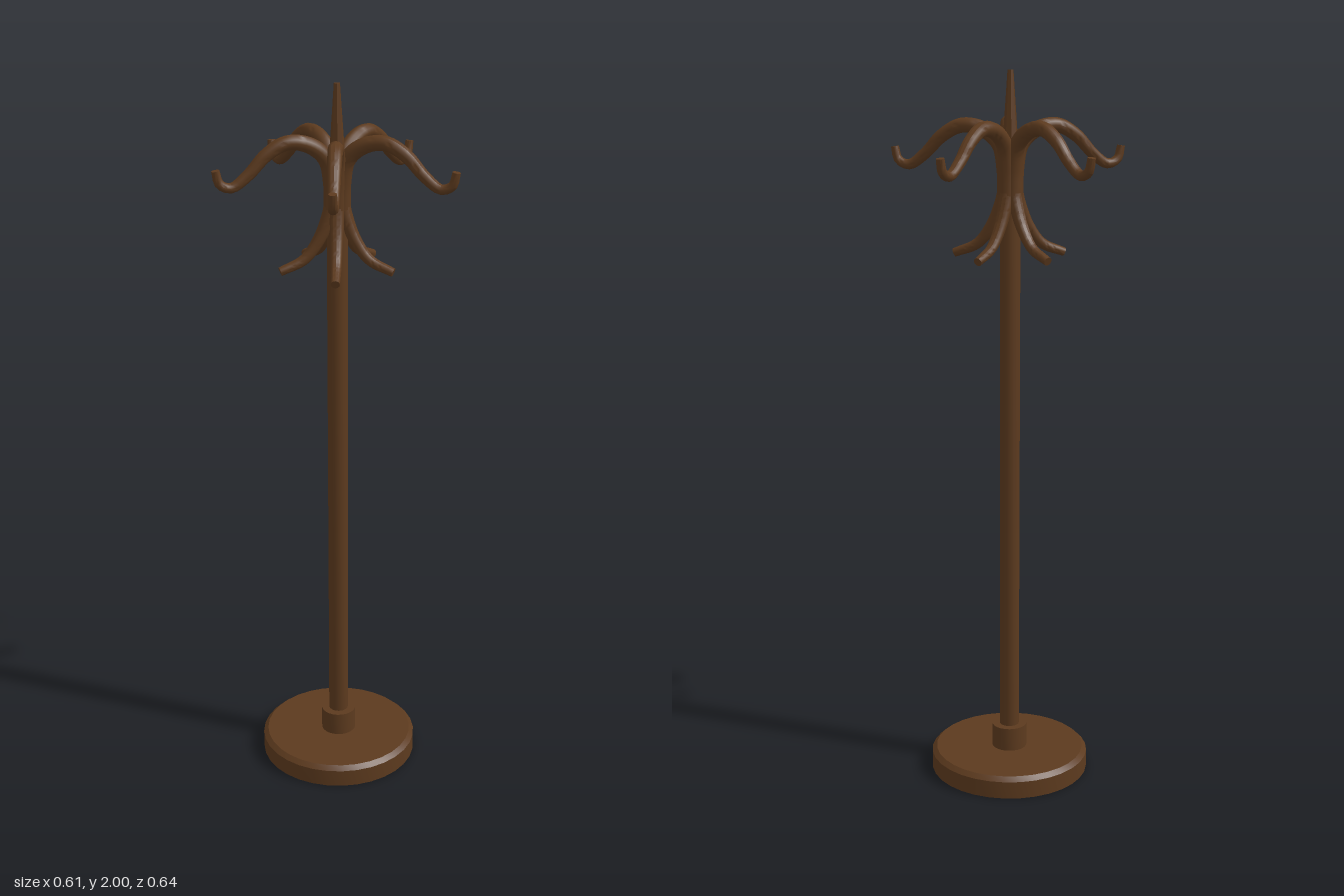
import * as THREE from 'three';
import { toCreasedNormals } from 'three/addons/utils/BufferGeometryUtils.js';

const wood = new THREE.MeshStandardMaterial({ color: 0x5c3a1e });

function mesh(name, geometry, crease = 0.6) {
  const m = new THREE.Mesh(toCreasedNormals(geometry, crease), wood);
  m.name = name;
  return m;
}

function lathe(name, points, sides) {
  return mesh(name, new THREE.LatheGeometry(points.map(([r, y]) => new THREE.Vector2(r, y)), sides));
}

// Tube along [radius, height] points, tapering from r0 to r1, with flat closed ends
function taperedTube(points, r0, r1, power, steps = 32, sides = 12) {
  const curve = new THREE.CatmullRomCurve3(points.map(([x, y]) => new THREE.Vector3(x, y, 0)));
  const geo = new THREE.TubeGeometry(curve, steps, 1, sides, false);
  const pos = geo.attributes.position;
  const v = new THREE.Vector3();
  for (let i = 0; i <= steps; i++) {
    const centre = curve.getPointAt(i / steps);
    const t = i <= 1 ? 0 : i >= steps - 1 ? 1 : i / steps;
    const target = curve.getPointAt(t);
    const r = i === 0 || i === steps ? 0 : r0 + (r1 - r0) * t ** power;
    for (let j = 0; j <= sides; j++) {
      const k = i * (sides + 1) + j;
      v.fromBufferAttribute(pos, k).sub(centre).multiplyScalar(r).add(target);
      pos.setXYZ(k, v.x, v.y, v.z);
    }
  }
  return geo;
}

export function createModel() {
  const root = new THREE.Group();
  root.name = 'coatStand';
  const stand = new THREE.Group();
  stand.name = 'stand';
  stand.position.x = -0.032;
  root.add(stand);

  // Round foot with a bevelled rim, collar and pole
  stand.add(lathe('base', [[0, 0], [0.226, 0], [0.226, 0.05], [0.213, 0.062], [0, 0.062]], 32));
  stand.add(lathe('collar', [[0, 0.05], [0.05, 0.05], [0.05, 0.13], [0, 0.13]], 24));
  stand.add(lathe('pole', [[0, 0.1], [0.028, 0.1], [0.028, 1.8], [0, 1.8]], 16));

  // Faceted finial
  const finial = mesh('finial', new THREE.CylinderGeometry(0.008, 0.023, 0.22, 8), 0.3);
  finial.position.y = 1.89;
  finial.rotation.y = Math.PI / 8;
  stand.add(finial);

  // Five branches, each a long upper hook over a short lower hook
  const upper = taperedTube([
    [0.013, 1.67], [0.015, 1.74], [0.03, 1.805], [0.075, 1.843], [0.135, 1.853],
    [0.19, 1.825], [0.24, 1.775], [0.285, 1.745], [0.315, 1.757], [0.325, 1.793],
  ], 0.024, 0.011, 1.7, 44);
  const lower = taperedTube([
    [0.013, 1.69], [0.024, 1.65], [0.05, 1.59], [0.092, 1.537], [0.158, 1.509],
  ], 0.021, 0.012, 1);
  for (let i = 0; i < 5; i++) {
    const branch = new THREE.Group();
    branch.name = 'branch' + (i + 1);
    branch.rotation.y = (i * Math.PI * 2) / 5;
    branch.add(mesh('upperHook', upper), mesh('lowerHook', lower));
    stand.add(branch);
  }
  return root;
}
